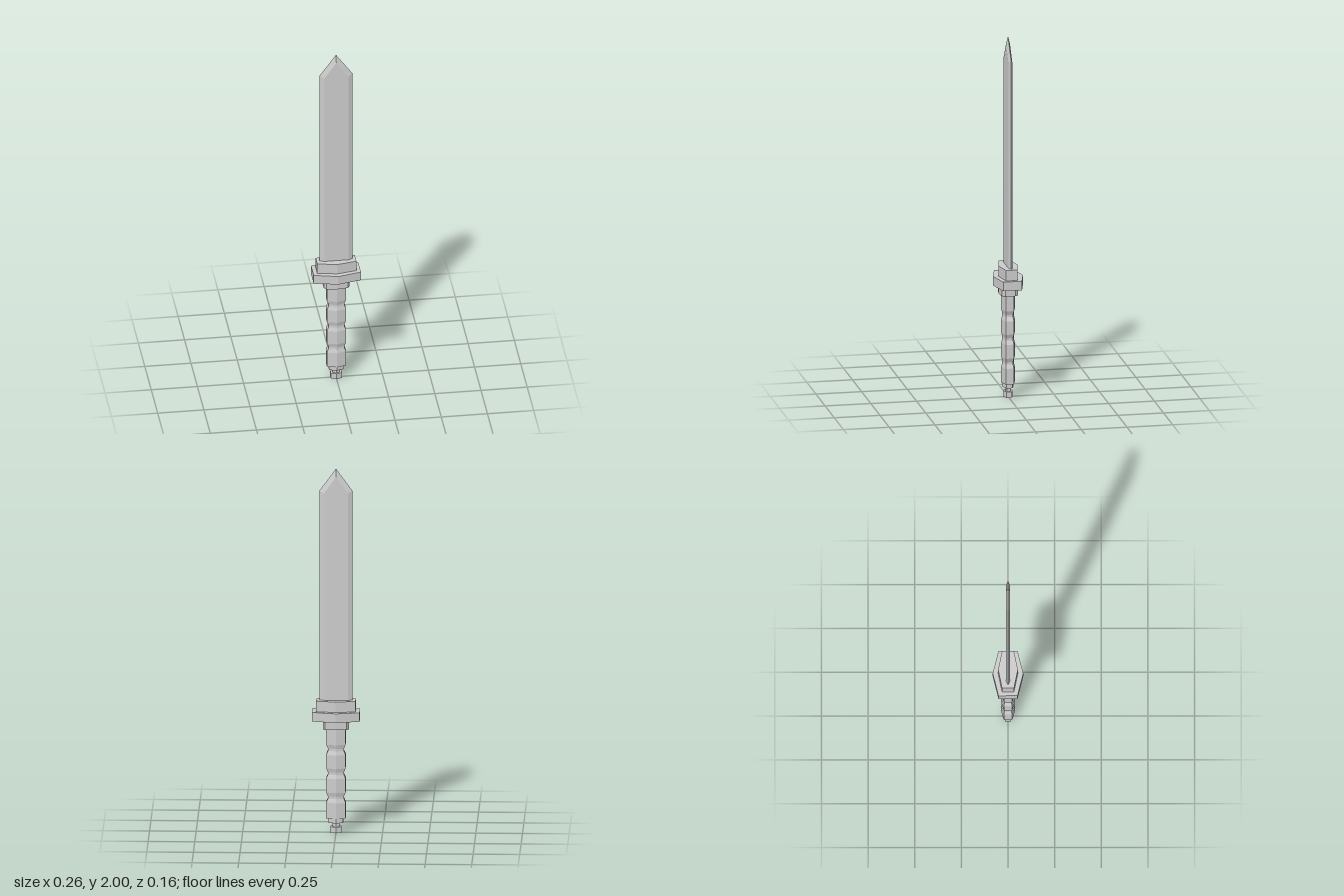
import * as THREE from 'three';

const material = new THREE.MeshStandardMaterial({ color: 0xcccccc, flatShading: true });

// Skins a stack of closed rings (each counter-clockwise seen from the far end) and caps both ends.
function loft(name, rings) {
  const pos = [];
  const tri = (...points) => points.forEach((p) => pos.push(p.x, p.y, p.z));
  const n = rings[0].length;
  const middle = (ring) =>
    ring.reduce((sum, p) => sum.add(p), new THREE.Vector3()).divideScalar(n);
  const first = rings[0];
  const last = rings[rings.length - 1];
  const c0 = middle(first);
  const c1 = middle(last);
  for (let i = 0; i < n; i++) {
    const j = (i + 1) % n;
    for (let r = 0; r < rings.length - 1; r++) {
      const a = rings[r], b = rings[r + 1];
      tri(a[i], a[j], b[j]);
      tri(a[i], b[j], b[i]);
    }
    tri(c0, first[j], first[i]);
    tri(c1, last[i], last[j]);
  }
  const geometry = new THREE.BufferGeometry();
  geometry.setAttribute('position', new THREE.Float32BufferAttribute(pos, 3));
  geometry.computeVertexNormals();
  const mesh = new THREE.Mesh(geometry, material);
  mesh.name = name;
  return mesh;
}

// Horizontal ring mirrored from one quarter: [x, z] points from the side to the ridge.
function ring(y, quarter, sx = 1, sz = 1) {
  const v = (x, z) => new THREE.Vector3(x * sx, y, z * sz);
  const back = quarter.map(([x, z]) => v(x, -z));
  const backLeft = quarter.slice(0, -1).reverse().map(([x, z]) => v(-x, -z));
  const front = quarter.map(([x, z]) => v(-x, z));
  const frontRight = quarter.slice(0, -1).reverse().map(([x, z]) => v(x, z));
  return [...back, ...backLeft, ...front, ...frontRight];
}

const prism = (name, y0, y1, quarter) => loft(name, [ring(y0, quarter), ring(y1, quarter)]);

// Upright blade outline with a pointed top.
function bladeOutline(halfWidth, shoulder, tip, z) {
  return [[-halfWidth, 0.72], [halfWidth, 0.72], [halfWidth, shoulder], [0, tip], [-halfWidth, shoulder]]
    .map(([x, y]) => new THREE.Vector3(x, y, z));
}

export function createModel() {
  const sword = new THREE.Group();
  sword.name = 'sword';

  // Blade: flat faces with bevelled cutting edges
  sword.add(loft('blade', [
    bladeOutline(0.065, 1.865, 1.955, -0.011),
    bladeOutline(0.088, 1.88, 2, 0),
    bladeOutline(0.065, 1.865, 1.955, 0.011),
  ]));

  // Stepped guard and collar
  sword.add(prism('upperGuard', 0.67, 0.728, [[0.106, 0.032], [0, 0.053]]));
  sword.add(prism('lowerGuard', 0.62, 0.67, [[0.128, 0.051], [0, 0.082]]));
  sword.add(prism('collar', 0.573, 0.62, [[0.07, 0.027], [0.058, 0.044], [0, 0.051]]));

  // Grip with three finger grooves
  const gripSection = [[0.052, 0.022], [0, 0.037]];
  const gripRings = [ring(0.08, gripSection)];
  for (const y of [0.195, 0.328, 0.458]) {
    gripRings.push(
      ring(y - 0.028, gripSection),
      ring(y - 0.006, gripSection, 0.82, 0.85),
      ring(y + 0.006, gripSection, 0.82, 0.85),
      ring(y + 0.028, gripSection),
    );
  }
  gripRings.push(ring(0.575, gripSection));
  sword.add(loft('grip', gripRings));

  // Pommel: ring, stem and end knob
  sword.add(prism('pommelRing', 0.055, 0.08, [[0.039, 0.017], [0, 0.03]]));
  sword.add(prism('pommelStem', 0.033, 0.055, [[0.019, 0.009], [0, 0.015]]));
  sword.add(prism('pommelKnob', 0, 0.033, [[0.03, 0.015], [0, 0.025]]));

  return sword;
}
